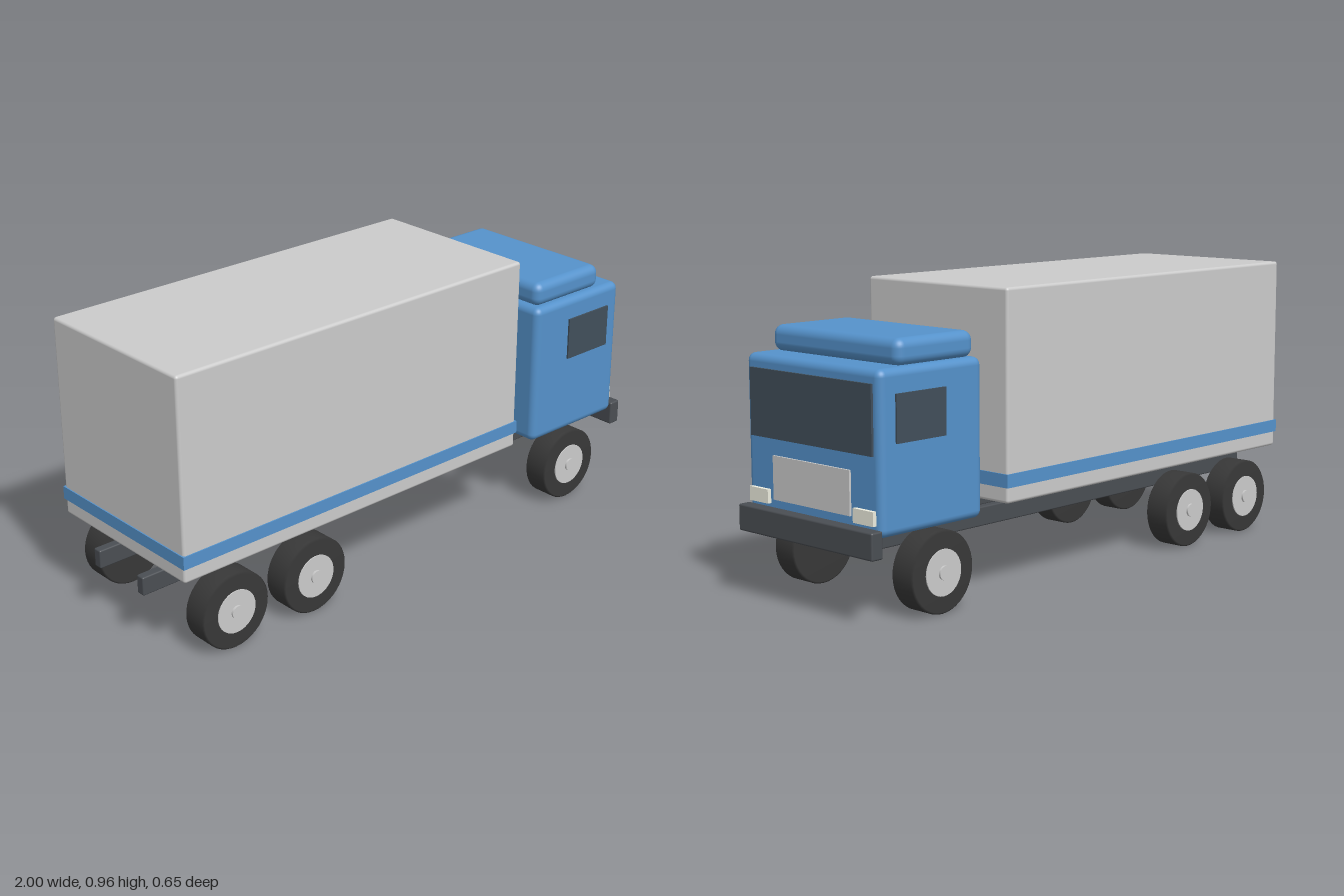
import * as THREE from 'three';
import { RoundedBoxGeometry } from 'three/addons/geometries/RoundedBoxGeometry.js';

const paint = (color) => new THREE.MeshStandardMaterial({ color });
const grey = paint(0xcccccc);
const blue = paint(0x5592cb);
const dark = paint(0x4a4e53);
const glass = paint(0x414f5b);
const rubber = paint(0x383838);
const lamp = paint(0xeeeee0);

export function createModel() {
  const truck = new THREE.Group();
  truck.name = 'boxTruck';

  // Box from its limits on each axis; a radius rounds the edges
  function block(name, material, [x0, x1], [y0, y1], [z0, z1], radius = 0) {
    const size = [x1 - x0, y1 - y0, z1 - z0];
    const geometry = radius
      ? new RoundedBoxGeometry(...size, 4, radius)
      : new THREE.BoxGeometry(...size);
    const mesh = new THREE.Mesh(geometry, material);
    mesh.name = name;
    mesh.position.set((x0 + x1) / 2, (y0 + y1) / 2, (z0 + z1) / 2);
    truck.add(mesh);
    return mesh;
  }

  // Same block on both sides of the truck
  function pair(name, material, x, y, [z0, z1], radius) {
    block(name + 'Right', material, x, y, [z0, z1], radius);
    block(name + 'Left', material, x, y, [-z1, -z0], radius);
  }

  // Cargo body with its stripe
  block('cargoBox', grey, [-0.975, 0.44], [0.29, 0.96], [-0.31, 0.31], 0.01);
  block('cargoStripe', blue, [-0.979, 0.444], [0.341, 0.384], [-0.314, 0.314]);

  // Cab and roof fairing
  block('cab', blue, [0.54, 0.96], [0.265, 0.76], [-0.303, 0.303], 0.025);
  block('roofFairing', blue, [0.555, 0.872], [0.757, 0.84], [-0.286, 0.286], 0.03);

  // Cab fittings
  block('windshield', glass, [0.95, 0.968], [0.507, 0.718], [-0.274, 0.274]);
  block('grille', grey, [0.95, 0.967], [0.318, 0.455], [-0.174, 0.174]);
  pair('headlight', lamp, [0.95, 0.973], [0.303, 0.347], [0.194, 0.281]);
  pair('sideWindow', glass, [0.7, 0.9], [0.54, 0.686], [0.298, 0.309]);
  block('bumper', dark, [0.956, 1], [0.208, 0.292], [-0.305, 0.305], 0.006);

  // Chassis rails
  pair('chassisRail', dark, [-1, 0.885], [0.182, 0.245], [0.097, 0.129], 0.005);

  // Wheels: tyre, rim and hub cap, turned around z and facing outwards
  const R = 0.1285;
  const tyreProfile = [
    [0, -0.0445], [R - 0.006, -0.0445], [R, -0.039],
    [R, 0.039], [R - 0.006, 0.0445], [0, 0.0445],
  ].map(([r, h]) => new THREE.Vector2(r, h));
  const tyre = new THREE.LatheGeometry(tyreProfile, 40);
  const rim = new THREE.CylinderGeometry(0.0725, 0.0725, 0.02, 32);
  const cap = new THREE.CylinderGeometry(0.022, 0.022, 0.02, 20);

  function wheel(name, x, side) {
    const group = new THREE.Group();
    group.name = name;
    const parts = [['tyre', tyre, rubber, 0], ['rim', rim, grey, 0.038], ['hubCap', cap, grey, 0.045]];
    for (const [part, geometry, material, offset] of parts) {
      const mesh = new THREE.Mesh(geometry, material);
      mesh.name = part;
      mesh.position.y = offset;
      group.add(mesh);
    }
    group.rotation.x = side * Math.PI / 2;
    group.position.set(x, R, side * 0.2705);
    truck.add(group);
  }

  const axles = { front: 0.725, middle: -0.47, rear: -0.79 };
  for (const [name, x] of Object.entries(axles)) {
    wheel(name + 'WheelRight', x, 1);
    wheel(name + 'WheelLeft', x, -1);
  }

  return truck;
}
